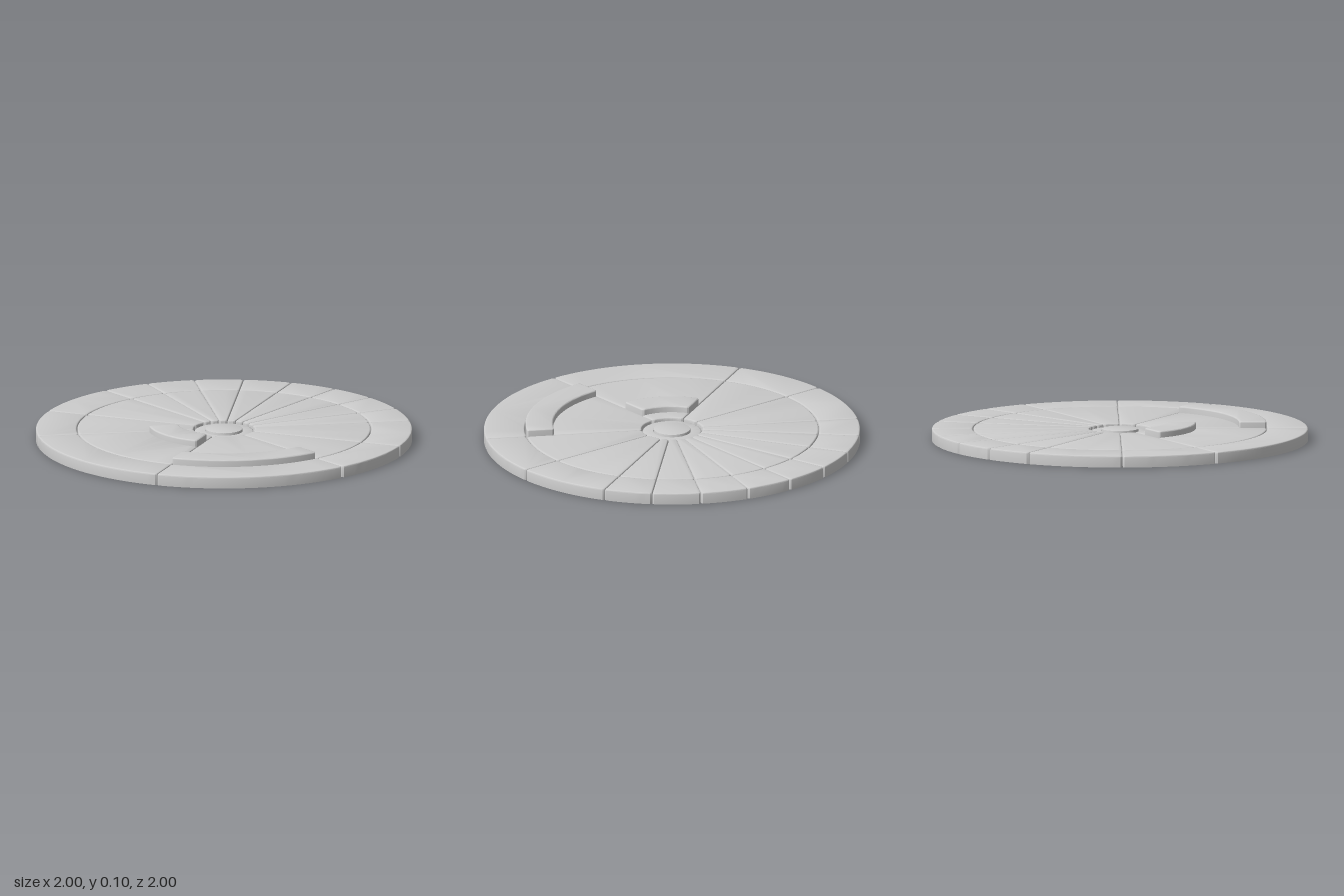
import * as THREE from 'three';
import { toCreasedNormals, mergeVertices } from 'three/addons/utils/BufferGeometryUtils.js';

const H = 0.062;      // height of the flat tiles
const RAISED = 0.096; // height of the raised tiles
const BEVEL = 0.008, GAP = 0.0015, CORNER = 0.009;
const RIM = 0.78, HUB = 0.16;
const material = new THREE.MeshStandardMaterial({ color: 0xcccccc, side: THREE.DoubleSide });

// Outline of a ring sector, inset by d, with chamfered corners (counter-clockwise from above)
function sectorOutline(r0, r1, a0, a1, d) {
  const pts = [];
  const steps = Math.ceil((a1 - a0) / (Math.PI / 72));
  const outer = r1 - GAP - d, inner = r0 + GAP + d;
  const arc = (r, reverse) => {
    const margin = Math.asin((GAP + d) / r) + CORNER / r;
    for (let i = 0; i <= steps; i++) {
      const t = reverse ? 1 - i / steps : i / steps;
      const a = a0 + margin + (a1 - a0 - 2 * margin) * t;
      pts.push(new THREE.Vector2(r * Math.cos(a), r * Math.sin(a)));
    }
  };
  const side = (r, base, sign) => {
    const a = base + sign * Math.asin((GAP + d) / r);
    pts.push(new THREE.Vector2(r * Math.cos(a), r * Math.sin(a)));
  };
  arc(outer, false);
  side(outer - CORNER, a1, -1);
  side(inner + CORNER, a1, -1);
  arc(inner, true);
  side(inner + CORNER, a0, 1);
  side(outer - CORNER, a0, 1);
  return pts;
}

// Hollow tile, open underneath, with a rounded top edge
function tile(name, r0, r1, deg0, deg1, h = H) {
  const a0 = THREE.MathUtils.degToRad(deg0), a1 = THREE.MathUtils.degToRad(deg1);
  const levels = [[0, 0]];
  for (let i = 0; i <= 3; i++) {
    const t = (i / 3) * Math.PI / 2;
    levels.push([BEVEL * (1 - Math.cos(t)), h - BEVEL * (1 - Math.sin(t))]);
  }
  const loops = levels.map(([d]) => sectorOutline(r0, r1, a0, a1, d));
  const n = loops[0].length, pos = [], index = [];
  loops.forEach((loop, k) => loop.forEach(p => pos.push(p.x, levels[k][1], -p.y)));
  for (let k = 0; k < loops.length - 1; k++) {
    for (let i = 0; i < n; i++) {
      const a = k * n + i, b = k * n + (i + 1) % n;
      index.push(a, b, b + n, a, b + n, a + n);
    }
  }
  const top = (loops.length - 1) * n;
  for (const f of THREE.ShapeUtils.triangulateShape(loops[loops.length - 1], [])) {
    index.push(...f.map(i => i + top));
  }
  const geo = new THREE.BufferGeometry();
  geo.setAttribute('position', new THREE.Float32BufferAttribute(pos, 3));
  geo.setIndex(index);
  const mesh = new THREE.Mesh(toCreasedNormals(geo, 0.7), material);
  mesh.name = name;
  return mesh;
}

// Turned part from [radius, height] points
function turned(name, profile) {
  let geo = new THREE.LatheGeometry(profile.map(p => new THREE.Vector2(...p)), 72);
  geo.deleteAttribute('normal');
  geo.deleteAttribute('uv');
  geo = toCreasedNormals(mergeVertices(geo), 0.9);
  const mesh = new THREE.Mesh(geo, material);
  mesh.name = name;
  return mesh;
}

export function createModel() {
  const model = new THREE.Group();
  model.name = 'segmentedDisc';

  // Boundaries of the sectors, in degrees from +x towards the back
  const angles = [-30, -15, 0, 15, 30, 45, 60, 75, 90, 120, 150, 210, 270, 300, 330];
  const outerRing = new THREE.Group(), innerTiles = new THREE.Group();
  outerRing.name = 'outerRing';
  innerTiles.name = 'innerSectors';
  for (let i = 0; i < angles.length - 1; i++) {
    const a = angles[i], b = angles[i + 1];
    outerRing.add(tile('rimTile', RIM, 1, a, b));
    if (a === 150) {
      // Sector with a raised band near the hub; flat tiles tuck under its edges
      innerTiles.add(
        tile('sectorTile', HUB, 0.245 + 0.014, a, b),
        tile('raisedInnerBand', 0.245, 0.405, a, b, RAISED),
        tile('sectorTile', 0.405 - 0.014, RIM, a, b));
    } else if (a === 210) {
      // Sector with a raised band near the rim
      innerTiles.add(
        tile('sectorTile', HUB, 0.63 + 0.014, a, b),
        tile('raisedOuterBand', 0.63, RIM, a, b, RAISED));
    } else {
      innerTiles.add(tile('sectorTile', HUB, RIM, a, b));
    }
  }
  model.add(outerRing, innerTiles);

  // Hub: a lower collar around a central button, both open underneath
  const hub = new THREE.Group();
  hub.name = 'hub';
  hub.add(
    turned('hubCollar', [[0.157, 0], [0.157, 0.041], [0.155, 0.046], [0.15, 0.048],
      [0.1, 0.048], [0.1, 0]]),
    turned('hubButton', [[0.098, 0], [0.098, 0.054], [0.096, 0.06], [0.09, H], [0, H]]));
  model.add(hub);
  return model;
}
